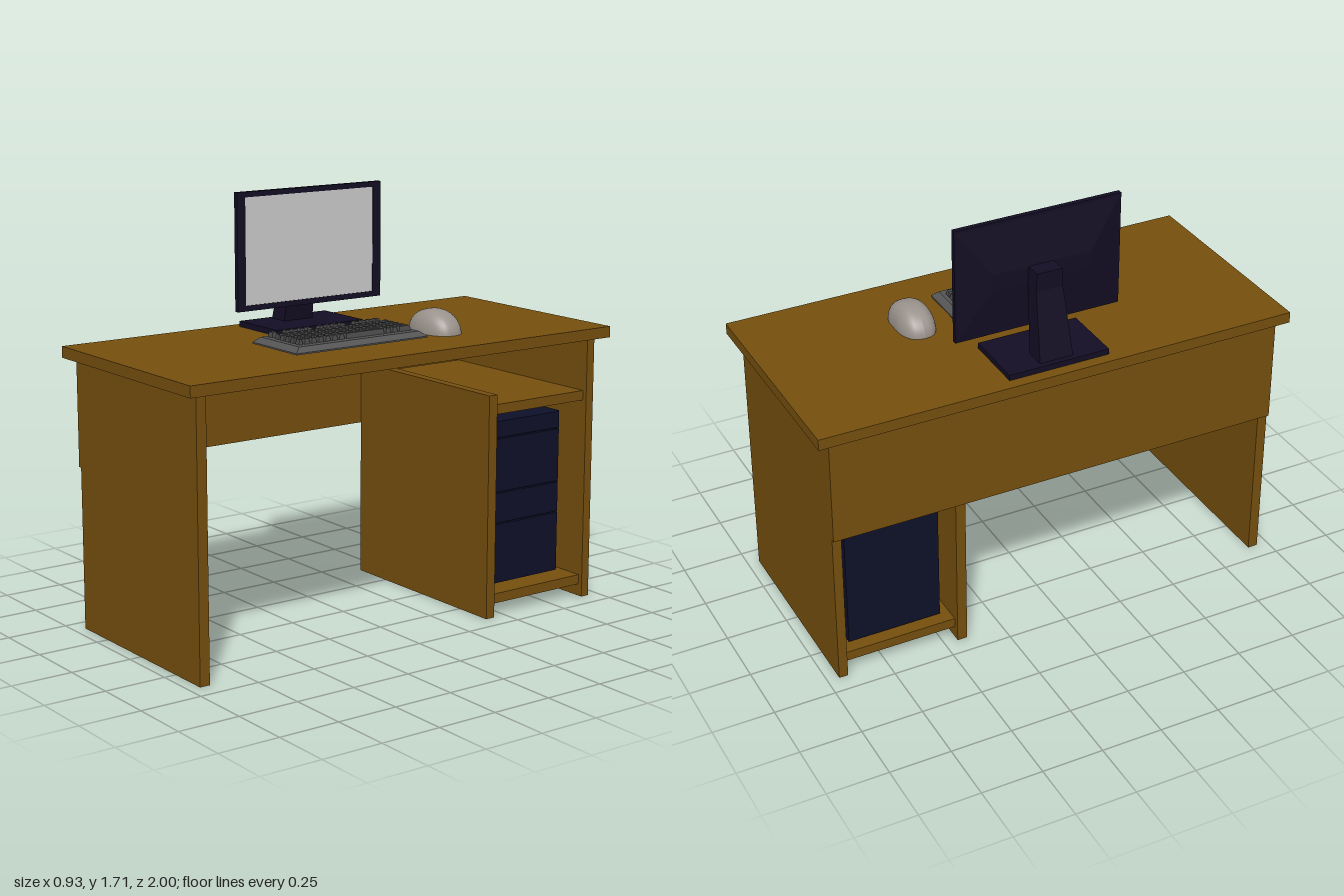
import * as THREE from 'three';
import { mergeGeometries } from 'three/addons/utils/BufferGeometryUtils.js';

const mat = (color, flatShading = true) => new THREE.MeshStandardMaterial({ color, flatShading });

// Box given by its min and max corners
function boxGeo(x0, x1, y0, y1, z0, z1) {
  return new THREE.BoxGeometry(x1 - x0, y1 - y0, z1 - z0)
    .translate((x0 + x1) / 2, (y0 + y1) / 2, (z0 + z1) / 2);
}

// Box whose top face is drawn in by insetX and insetZ
function taperedGeo(x0, x1, y0, y1, z0, z1, insetX, insetZ = insetX) {
  const g = boxGeo(x0, x1, y0, y1, z0, z1);
  const p = g.attributes.position;
  const mx = (x0 + x1) / 2, mz = (z0 + z1) / 2, my = (y0 + y1) / 2;
  for (let i = 0; i < p.count; i++) {
    if (p.getY(i) < my) continue;
    p.setX(i, p.getX(i) - Math.sign(p.getX(i) - mx) * insetX);
    p.setZ(i, p.getZ(i) - Math.sign(p.getZ(i) - mz) * insetZ);
  }
  g.computeVertexNormals();
  return g;
}

function add(parent, name, geo, material) {
  const m = new THREE.Mesh(geo, material);
  m.name = name;
  parent.add(m);
  return m;
}

function group(parent, name) {
  const g = new THREE.Group();
  g.name = name;
  parent.add(g);
  return g;
}

function buildDesk(root) {
  const desk = group(root, 'desk');
  const wood = mat(0x764f0e);
  const part = (name, ...b) => add(desk, name, boxGeo(...b), wood);
  part('desktop', -0.465, 0.46, 1.09, 1.135, -1, 1);
  part('leftSidePanel', -0.425, 0.42, 0, 1.09, 0.91, 0.952);
  part('rightSidePanel', -0.425, 0.42, 0, 1.09, -0.952, -0.915);
  part('backPanel', -0.44, -0.425, 0.655, 1.09, -0.952, 0.952);
  part('cabinetPanel', -0.425, 0.42, 0, 0.915, -0.444, -0.403);
  part('upperShelf', -0.4, 0.4, 0.83, 0.87, -0.915, -0.444);
  part('lowerShelf', -0.4, 0.4, 0.05, 0.09, -0.915, -0.444);
}

function buildTower(root) {
  const tower = group(root, 'computerTower');
  const navy = mat(0x0e1029);
  add(tower, 'towerCase', boxGeo(-0.355, 0.3, 0.1, 0.775, -0.877, -0.487), navy);
  // Front covers with narrow seams between them
  for (const [y0, y1] of [[0.1, 0.347], [0.353, 0.477], [0.483, 0.702], [0.708, 0.775]]) {
    add(tower, 'towerFrontCover', boxGeo(0.3, 0.315, y0, y1, -0.865, -0.487), navy);
  }
}

function buildMonitor(root) {
  const monitor = group(root, 'monitor');
  const dark = mat(0x130e24);
  add(monitor, 'monitorBase', boxGeo(-0.417, -0.152, 1.135, 1.158, -0.21, 0.213), dark);

  // Leaning stand, narrowing toward the top
  const profile = [[-0.395, 1.155], [-0.309, 1.155], [-0.264, 1.43], [-0.258, 1.505],
    [-0.332, 1.505], [-0.332, 1.43]].map(([x, y]) => new THREE.Vector2(x, y));
  const stand = new THREE.ExtrudeGeometry(new THREE.Shape(profile), { depth: 0.14, bevelEnabled: false })
    .translate(0, 0, -0.07);
  const p = stand.attributes.position;
  for (let i = 0; i < p.count; i++) {
    const t = (p.getY(i) - 1.155) / 0.35;
    p.setZ(i, p.getZ(i) * (1 - 0.25 * t));
  }
  stand.computeVertexNormals();
  add(monitor, 'monitorStand', stand, dark);

  // Bezel frame with an opening for the screen
  const rect = (path, z0, z1, y0, y1) => path.moveTo(z0, y0).lineTo(z1, y0).lineTo(z1, y1).lineTo(z0, y1).closePath();
  const frame = rect(new THREE.Shape(), -0.353, 0.344, 1.235, 1.705);
  frame.holes.push(rect(new THREE.Path(), -0.315, 0.305, 1.257, 1.684));
  const bezel = new THREE.ExtrudeGeometry(frame, { depth: 0.02, bevelEnabled: false })
    .rotateY(Math.PI / 2).translate(-0.234, 0, 0);
  add(monitor, 'monitorBezel', bezel, dark);
  add(monitor, 'screen', boxGeo(-0.23, -0.217, 1.257, 1.684, -0.305, 0.315), mat(0xcccccc));

  // Back cover rising to a smaller flat centre
  const back = taperedGeo(-0.235, 0.235, 0, 0.032, -0.3485, 0.3485, 0.2, 0.14)
    .rotateZ(Math.PI / 2).translate(-0.232, 1.47, 0.0045);
  add(monitor, 'monitorBack', back, dark);
}

function buildKeyboard(root) {
  const keyboard = group(root, 'keyboard');
  const grey = mat(0x555555);
  add(keyboard, 'keyboardBody', mergeGeometries([
    boxGeo(-0.025, 0.271, 1.147, 1.153, -0.208, 0.413),
    taperedGeo(-0.025, 0.271, 1.153, 1.173, -0.208, 0.413, 0.02, 0.025),
  ]), grey);

  const keys = [];
  const key = (x, z0, z1, w) => keys.push(taperedGeo(x, x + w, 1.171, 1.193, z0, z1, 0.005));
  // Grouped keys along the far edge
  for (const [start, n] of [[-0.16, 4], [0.01, 4], [0.17, 4], [0.335, 1]]) {
    for (let i = 0; i < n; i++) key(0.004, start + i * 0.034, start + i * 0.034 + 0.028, 0.032);
  }
  // Staggered main rows, the last one with a space bar
  const pitch = 0.0325, zMin = -0.168, zMax = 0.372;
  for (let row = 0; row < 5; row++) {
    const x = 0.056 + row * 0.034;
    let z = zMin, first = true;
    while (z < zMax - 0.01) {
      let w = first ? pitch + row * 0.008 : pitch;
      if (row === 4 && z > -0.06 && z < 0.0) w = 0.19;
      const end = zMax - (z + w) < 0.02 ? zMax : z + w;
      key(x, z, end - 0.006, 0.028);
      z = end;
      first = false;
    }
  }
  add(keyboard, 'keys', mergeGeometries(keys), mat(0x4a4a4a));
}

function buildMouse(root) {
  // Dome with fuller flanks and a slight waist
  const g = new THREE.SphereGeometry(1, 32, 16, 0, Math.PI * 2, 0, Math.PI / 2);
  const p = g.attributes.position;
  for (let i = 0; i < p.count; i++) {
    const x = p.getX(i), y = p.getY(i), z = p.getZ(i);
    const side = Math.sign(z) * Math.pow(Math.abs(z), 0.75);
    const waist = z < 0 ? 1 - 0.06 * Math.exp(-x * x * 12) : 1;
    p.setXYZ(i, x * 0.126, y * 0.093, side * 0.08 * waist);
  }
  g.computeVertexNormals();
  const mouse = add(root, 'mouse', g, mat(0x9a928c, false));
  mouse.position.set(0.13, 1.135, -0.357);
}

export function createModel() {
  const root = new THREE.Group();
  root.name = 'computerDesk';
  buildDesk(root);
  buildTower(root);
  buildMonitor(root);
  buildKeyboard(root);
  buildMouse(root);
  return root;
}
